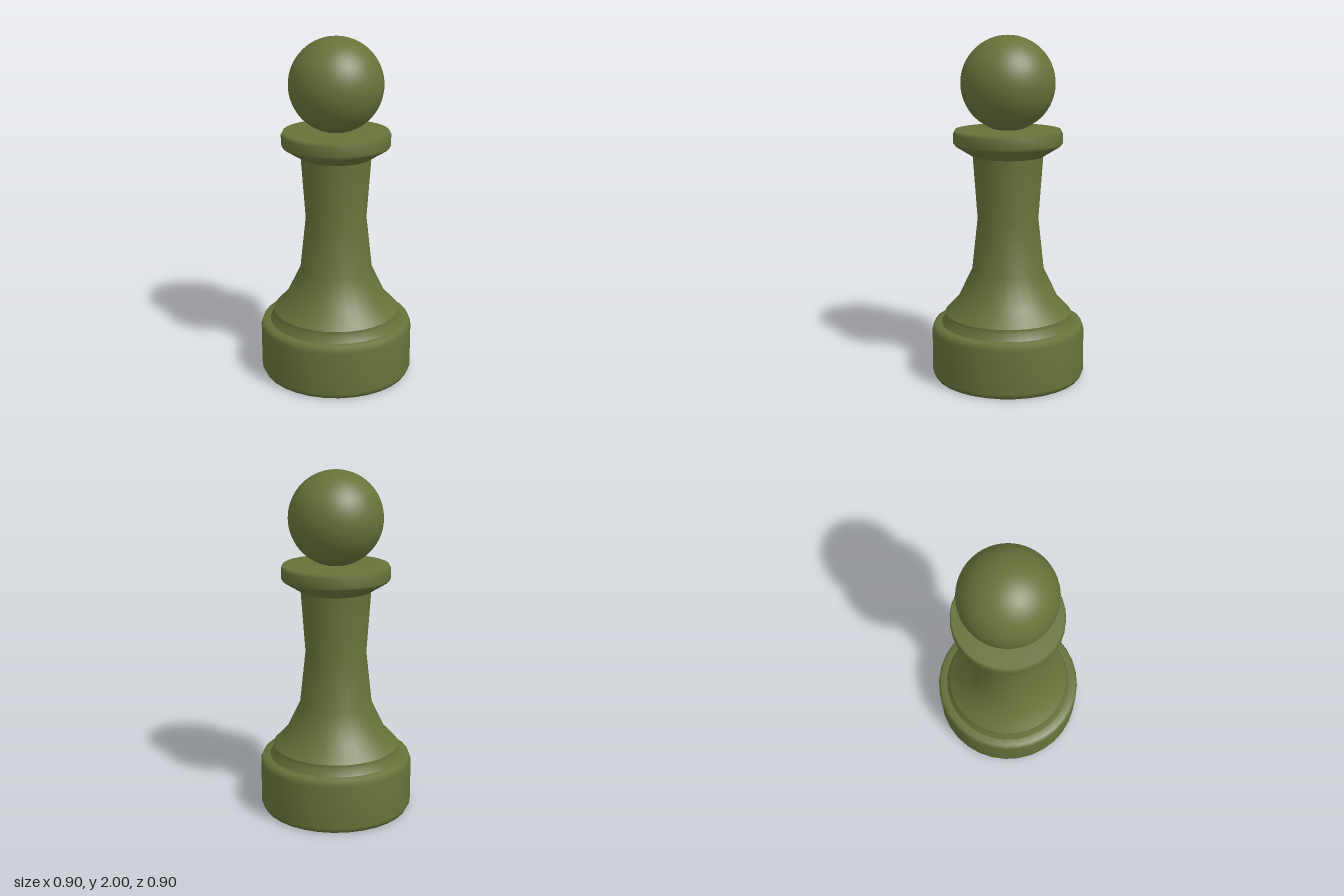
import * as THREE from 'three';

const SIDES = 32;

export function createModel() {
  const group = new THREE.Group();
  const material = new THREE.MeshStandardMaterial({ color: 0x67723a });

  const add = (name, geometry, y = 0) => {
    const mesh = new THREE.Mesh(geometry, material);
    mesh.name = name;
    mesh.position.y = y;
    group.add(mesh);
  };
  // Profiles are [radius, height] pairs, listed from bottom to top
  const turned = (profile) =>
    new THREE.LatheGeometry(profile.map(([r, y]) => new THREE.Vector2(r, y)), SIDES);

  // Heavy foot with bevelled rims
  add('base', turned([
    [0, 0], [0.435, 0], [0.45, 0.03], [0.45, 0.285], [0.435, 0.322], [0.38, 0.322],
  ]));

  // Small step between foot and stem
  add('baseStep', turned([[0.395, 0.322], [0.373, 0.36], [0.373, 0.385]]));

  // Flared stem with a narrow waist
  add('stem', turned([
    [0.373, 0.385], [0.295, 0.467], [0.212, 0.64], [0.178, 0.95], [0.204, 1.315],
  ]));

  // Collar: sloped underside, bevelled rim, flat top
  add('collar', turned([
    [0.2, 1.31], [0.305, 1.375], [0.315, 1.39], [0.315, 1.445], [0.305, 1.466], [0, 1.466],
  ]));

  // Round head
  add('head', new THREE.SphereGeometry(0.271, 48, 32), 1.729);

  return group;
}
